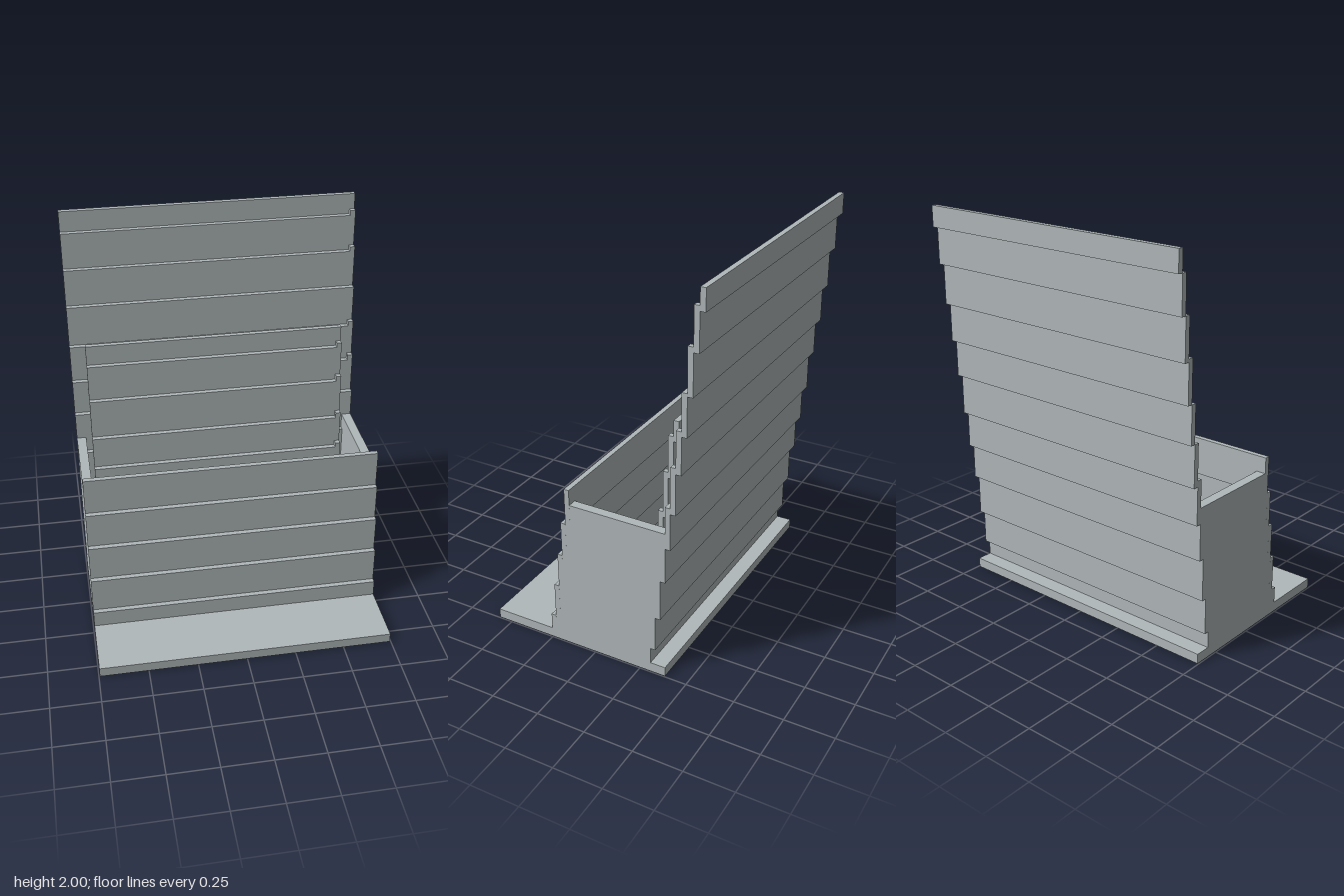
import * as THREE from 'three';

const T = 0.0267;   // board thickness, also the step between boards
const HALF = 0.745; // half width

export function createModel() {
  const model = new THREE.Group();
  model.name = 'slattedPlanter';
  const grey = new THREE.MeshStandardMaterial({ color: 0xb0b8ba });
  grey.name = 'paleGrey';

  const box = (parent, name, x0, x1, y0, y1, z0, z1) => {
    const mesh = new THREE.Mesh(new THREE.BoxGeometry(x1 - x0, y1 - y0, z1 - z0), grey);
    mesh.position.set((x0 + x1) / 2, (y0 + y1) / 2, (z0 + z1) / 2);
    mesh.name = name;
    parent.add(mesh);
  };

  // A leaning wall of boards, listed from the top down as [bottom, top, tabTop].
  // Each lower board sits one thickness further forward.
  const wall = (name, half, zFront, boards) => {
    const group = new THREE.Group();
    group.name = name;
    boards.forEach(([bottom, top, tabTop], i) => {
      const z1 = zFront + i * T;
      box(group, name + 'Board', -half, half, bottom, top, z1 - T, z1);
      if (tabTop) box(group, name + 'Tab', half - 0.026, half, top, tabTop, z1 - T, z1);
    });
    model.add(group);
  };

  // Base plate
  box(model, 'base', -HALF, HALF, 0, 0.05, -0.385, 0.575);

  // Front wall
  wall('frontWall', HALF, 0.147, [
    [0.69, 0.88], [0.505, 0.69], [0.32, 0.505], [0.135, 0.32], [0.05, 0.135],
  ]);

  // Tall back wall
  wall('backWall', HALF, -0.5465, [
    [1.895, 2], [1.71, 1.895, 1.92], [1.505, 1.71, 1.735], [1.31, 1.52],
    [1.12, 1.31, 1.335], [0.91, 1.12, 1.15], [0.72, 0.94], [0.535, 0.72],
    [0.32, 0.535], [0.135, 0.32], [0.05, 0.135],
  ]);

  // Shorter middle wall, standing inside the box
  wall('middleWall', 0.667, -0.387, [
    [1.23, 1.335], [1.04, 1.23, 1.255], [0.83, 1.04, 1.07], [0.66, 0.83, 0.86],
    [0.47, 0.66, 0.685], [0.28, 0.47, 0.495], [0.05, 0.28],
  ]);

  // Side panels, stepped to meet the inner faces of the front and back boards
  const shape = new THREE.Shape();
  const front = [0.05, 0.135, 0.32, 0.505, 0.69, 0.8];
  const back = [0.8, 0.72, 0.535, 0.32, 0.135, 0.05];
  const points = [];
  for (let i = 0; i < 5; i++) {
    const z = 0.227 - i * T;
    points.push([z, front[i]], [z, front[i + 1]]);
  }
  for (let i = 0; i < 5; i++) {
    const z = -0.3863 + i * T;
    points.push([z, back[i]], [z, back[i + 1]]);
  }
  // Shape x runs along -z so that the extrusion points to +x
  shape.setFromPoints(points.map(([z, y]) => new THREE.Vector2(-z, y)));
  const sideGeometry = new THREE.ExtrudeGeometry(shape, { depth: 0.048, bevelEnabled: false });
  sideGeometry.rotateY(Math.PI / 2);
  for (const [name, x] of [['leftSide', HALF - 0.048], ['rightSide', -HALF]]) {
    const side = new THREE.Mesh(sideGeometry, grey);
    side.position.x = x;
    side.name = name;
    model.add(side);
  }

  return model;
}
